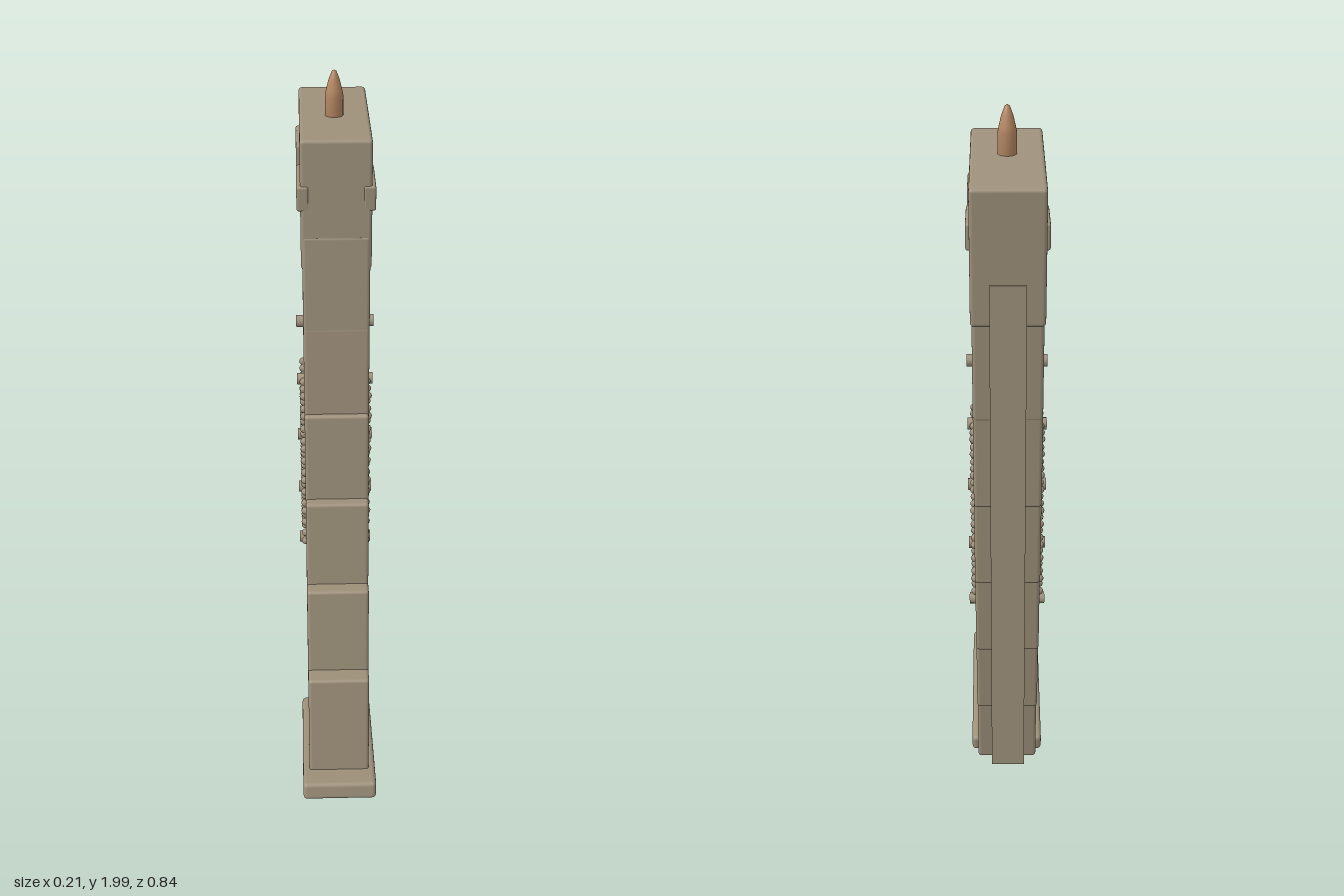
import * as THREE from 'three';
import { RoundedBoxGeometry } from 'three/addons/geometries/RoundedBoxGeometry.js';

export function createModel() {
  const model = new THREE.Group();
  model.name = 'curvedMagazine';
  const tan = new THREE.MeshStandardMaterial({ color: 0x9e917b });
  tan.name = 'tan polymer';
  const copper = new THREE.MeshStandardMaterial({ color: 0xb58763 });
  copper.name = 'copper';

  function add(name, geometry, x, y, z, tilt = 0, material = tan) {
    const mesh = new THREE.Mesh(geometry, material);
    mesh.name = name;
    mesh.position.set(x, y, z);
    mesh.rotation.x = -THREE.MathUtils.degToRad(tilt);
    model.add(mesh);
    return mesh;
  }
  const rounded = (w, h, d, r) => new RoundedBoxGeometry(w, h, d, 2, r);

  // Overlapping body segments: front top z, y, back bottom z, y, tilt
  const segments = [
    [0.02, 1.895, -0.41, 1.54, 3.0],
    [0.037, 1.655, -0.392, 1.285, 4.0],
    [0.052, 1.41, -0.367, 1.035, 4.7],
    [0.085, 1.165, -0.328, 0.79, 5.5],
    [0.14, 0.92, -0.265, 0.54, 6.5],
    [0.212, 0.68, -0.19, 0.29, 7.3],
    [0.3, 0.43, -0.1, 0.045, 8.0],
  ];
  segments.forEach(([fz, fy, bz, by, tilt], i) => {
    const width = i === 0 ? 0.176 : 0.169;
    add('bodySegment' + (i + 1), rounded(width, 0.333, 0.447, 0.009),
      0, (fy + by) / 2, (fz + bz) / 2, tilt);
  });

  // Base plate and its release button
  add('basePlate', rounded(0.206, 0.053, 0.457, 0.012), 0, 0.079, 0.19, 10.6);
  add('baseButton', new THREE.BoxGeometry(0.068, 0.022, 0.15), 0, 0.037, 0.195);

  // Flat strip down the back
  add('backStrip', new THREE.BoxGeometry(0.086, 1.37, 0.013), 0, 0.96, -0.411);

  // Cartridge tip
  const tip = [[0, -0.06], [0.023, -0.06], [0.023, 0.035], [0.02, 0.05], [0.014, 0.075],
    [0.006, 0.096], [0, 0.1]].map(([r, y]) => new THREE.Vector2(r, y));
  add('cartridge', new THREE.LatheGeometry(tip, 20), 0, 1.9, -0.18, 0, copper);

  // Side details, mirrored
  const tabGeo = rounded(0.03, 0.064, 0.148, 0.006);
  const studGeo = new THREE.CylinderGeometry(0.016, 0.016, 0.04, 12).rotateZ(Math.PI / 2);
  const dotGeo = new THREE.SphereGeometry(0.011, 8, 6);
  for (const side of [1, -1]) {
    const label = side > 0 ? 'left' : 'right';
    for (const z of [-0.045, -0.314]) add(label + 'Tab', tabGeo, side * 0.082, 1.749, z);
    for (let i = 0; i < 5; i++) {
      add(label + 'Stud', studGeo, side * 0.083, 1.335 - i * 0.179, -0.125);
    }
    // Staggered grip dots
    for (let row = 0; row < 10; row++) {
      for (let col = 0; col < 6; col++) {
        const z = (row % 2 ? -0.011 : -0.03) - col * 0.0378;
        add(label + 'GripDot', dotGeo, side * 0.086, 1.157 - row * 0.052, z);
      }
    }
  }
  return model;
}
